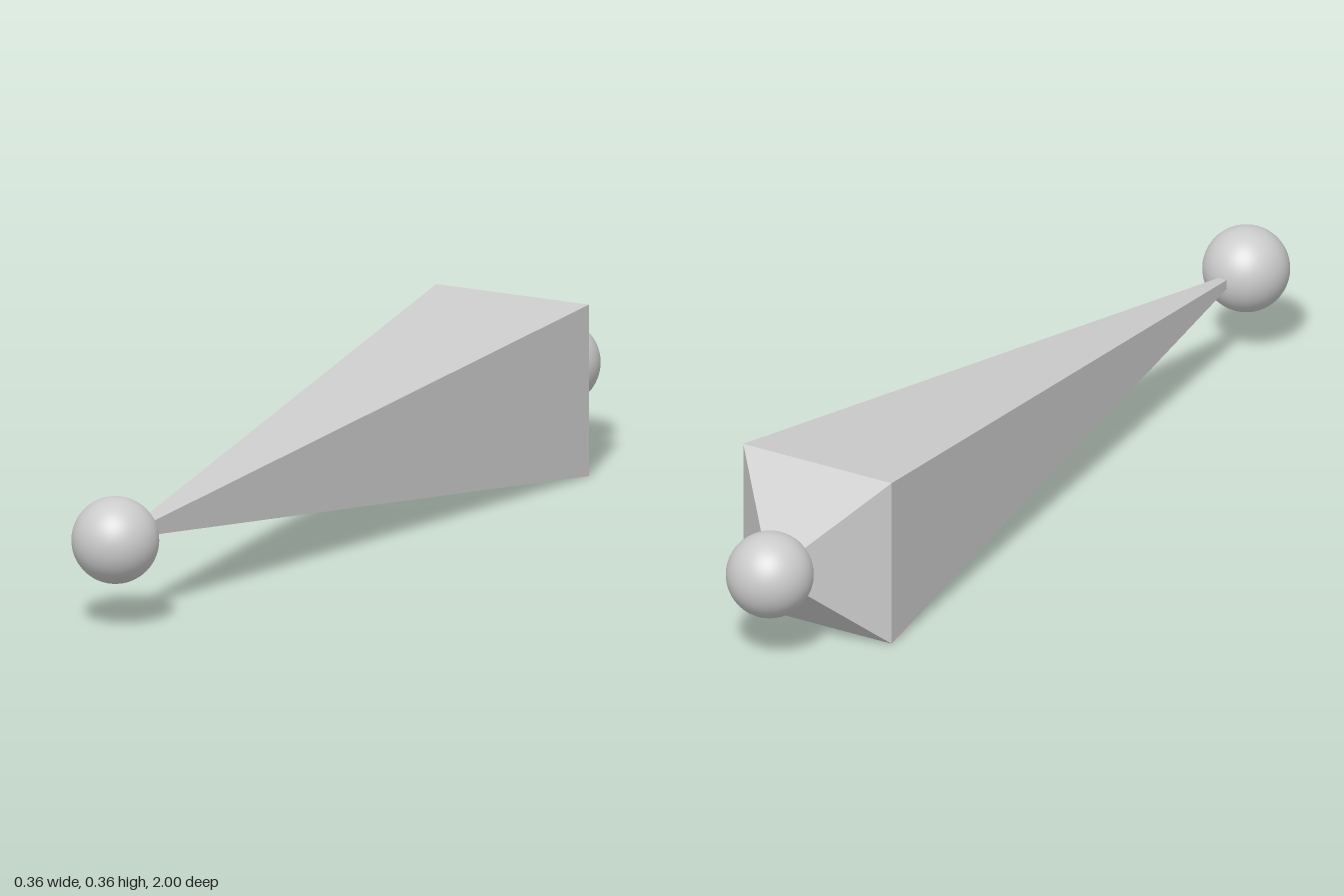
import * as THREE from 'three';

const HALF = 0.182;   // half width of the square shoulder
const RADIUS = 0.0909; // joint radius
const END = 0.9091;   // joint distance from the centre
const SHOULDER_Z = -0.7273;

export function createModel() {
  const group = new THREE.Group();
  const smooth = new THREE.MeshStandardMaterial({ color: 0xcccccc });
  const flat = new THREE.MeshStandardMaterial({ color: 0xcccccc, flatShading: true });

  const add = (name, geometry, material, z) => {
    const mesh = new THREE.Mesh(geometry, material);
    mesh.name = name;
    mesh.position.set(0, HALF, z);
    group.add(mesh);
  };

  // Open four-sided pyramid from the shoulder to a tip at tipZ
  const pyramid = (name, tipZ) => {
    const length = Math.abs(tipZ - SHOULDER_Z);
    const geometry = new THREE.ConeGeometry(HALF * Math.SQRT2, length, 4, 1, true, Math.PI / 4);
    geometry.rotateX(Math.sign(tipZ - SHOULDER_Z) * Math.PI / 2);
    add(name, geometry, flat, (tipZ + SHOULDER_Z) / 2);
  };
  pyramid('shaftTaper', END);
  pyramid('headTaper', -END);

  // Ball joints at both ends
  for (const [name, side] of [['frontJoint', 1], ['backJoint', -1]]) {
    const ball = new THREE.SphereGeometry(RADIUS, 48, 32).rotateX(Math.PI / 2);
    add(name, ball, smooth, side * END);
  }
  return group;
}
